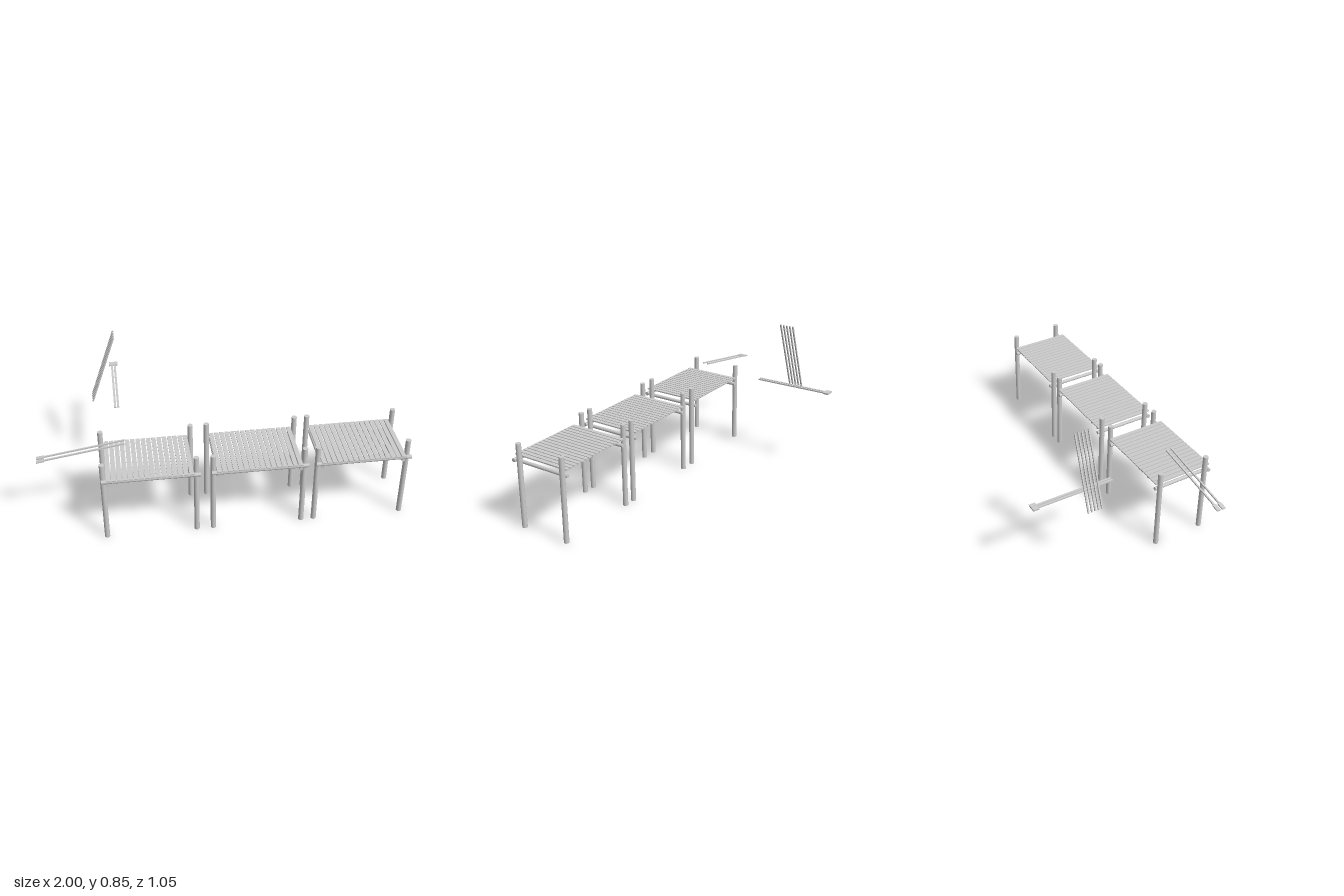
import * as THREE from 'three';

const mat = new THREE.MeshStandardMaterial({ color: 0xcccccc });

function add(parent, name, geo, x, y, z) {
  const m = new THREE.Mesh(geo, mat);
  m.name = name;
  m.position.set(x, y, z);
  parent.add(m);
  return m;
}
const box = (w, h, d) => new THREE.BoxGeometry(w, h, d);
const rod = (r, len) => new THREE.CylinderGeometry(r, r, len, 14);

// One section of pier: four posts, three round beams and a plank deck
function pierSection(cx) {
  const g = new THREE.Group();
  g.name = 'pierSection';
  g.position.x = cx;
  for (const x of [-0.246, 0.246])
    for (const z of [0.187, 0.48]) add(g, 'post', rod(0.0145, 0.488), x, 0.244, z);
  for (const x of [-0.221, 0.222])
    add(g, 'crossBeam', rod(0.01, 0.336), x, 0.374, 0.34).rotation.x = Math.PI / 2;
  add(g, 'frontRail', rod(0.011, 0.522), 0.005, 0.393, 0.503).rotation.z = Math.PI / 2;
  const count = 16, pitch = 0.465 / count;
  for (let i = 0; i < count; i++)
    add(g, 'plank', box(pitch - 0.005, 0.007, 0.352), (i - (count - 1) / 2) * pitch, 0.41, 0.348);
  return g;
}

// Long shaft lying on x with a small flat blade at its -x end
function oar(name, z) {
  const g = new THREE.Group();
  g.name = name;
  add(g, 'shaft', box(0.435, 0.007, 0.009), 0.02, 0, 0);
  add(g, 'blade', box(0.042, 0.007, 0.021), -0.217, 0, 0);
  g.position.set(-0.766, 0.475, z);
  g.rotation.z = Math.atan2(0.075, 0.47);
  return g;
}

export function createModel() {
  const model = new THREE.Group();
  for (const cx of [-0.414, 0.168, 0.731]) model.add(pierSection(cx));

  // Pair of tilted oars over the first section
  for (const z of [0.311, 0.342]) model.add(oar('oar', z));

  // Level double-shafted pole behind the pier
  const pole = new THREE.Group();
  pole.name = 'levelPole';
  for (const x of [-0.0085, 0.0085]) add(pole, 'shaft', box(0.012, 0.007, 0.45), x, 0, 0.013);
  add(pole, 'head', box(0.051, 0.009, 0.034), 0, 0.002, -0.222);
  pole.position.set(-0.557, 0.482, -0.291);
  pole.rotation.x = 0.01;
  model.add(pole);

  // Row of five leaning slats
  const slats = new THREE.Group();
  slats.name = 'leaningSlats';
  for (let i = 0; i < 5; i++) add(slats, 'slat', box(0.008, 0.434, 0.008), 0, 0, (i - 2) * 0.02);
  slats.position.set(-0.618, 0.644, -0.233);
  slats.rotation.z = -Math.atan2(0.143, 0.412);
  model.add(slats);
  return model;
}
